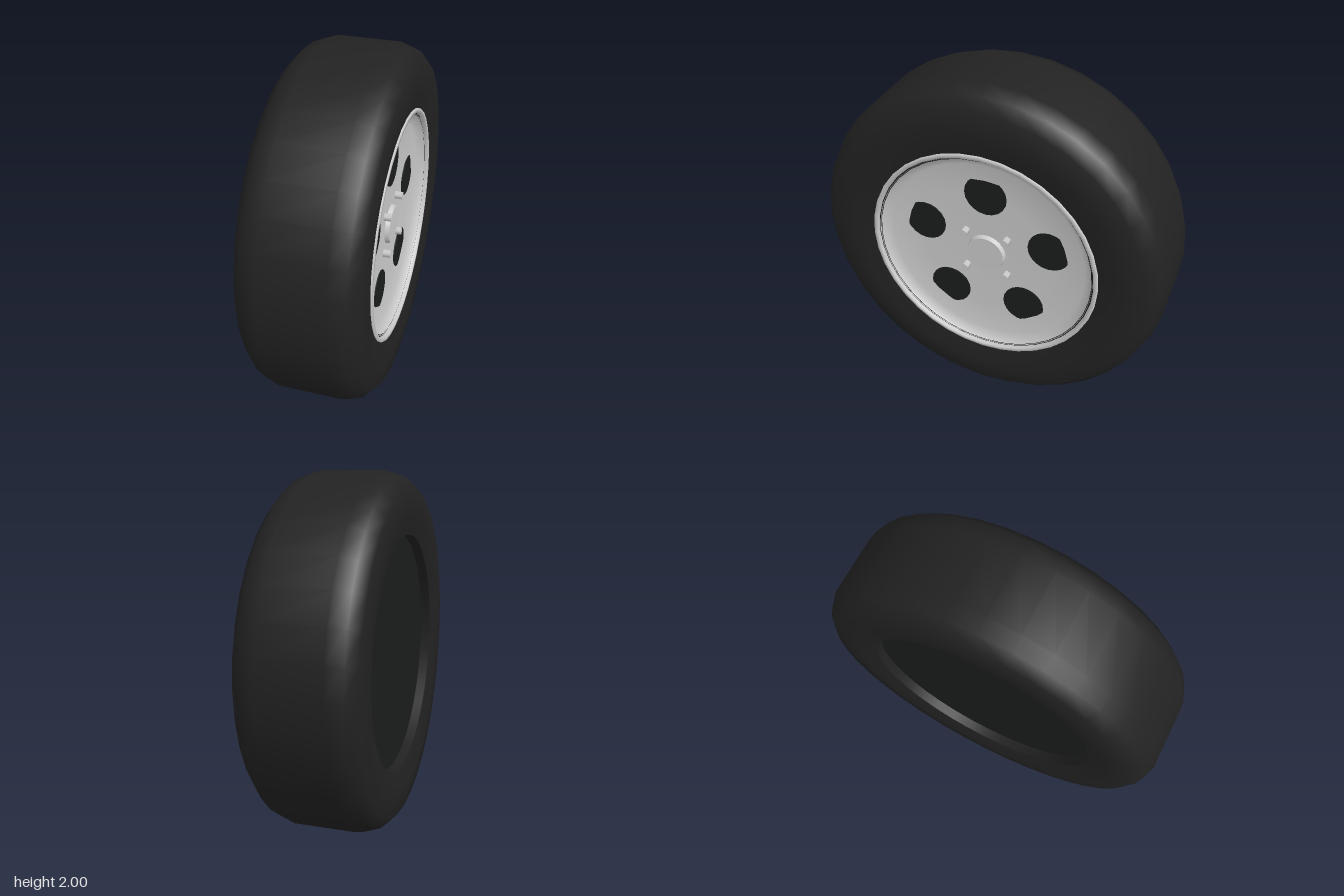
import * as THREE from 'three';

const SEG = 36;
const rubber = new THREE.MeshStandardMaterial({ color: 0x222222 });
const dark = new THREE.MeshStandardMaterial({ color: 0x1b1d1d });
const metal = new THREE.MeshStandardMaterial({ color: 0xcccccc });

// Profiles are [radius, offset along the axle] pairs, running counter-clockwise.
function lathe(name, profile, material) {
  const points = profile.map(([r, h]) => new THREE.Vector2(r, h));
  const mesh = new THREE.Mesh(new THREE.LatheGeometry(points, SEG), material);
  mesh.name = name;
  return mesh;
}

// Cylinder along the axle between two offsets, at a given distance and angle from the top.
function disc(name, rTop, rBottom, from, to, sides, material, dist = 0, angle = 0) {
  const geo = new THREE.CylinderGeometry(rTop, rBottom, to - from, sides);
  const mesh = new THREE.Mesh(geo, material);
  mesh.name = name;
  mesh.position.set(-dist * Math.cos(angle), (from + to) / 2, dist * Math.sin(angle));
  return mesh;
}

export function createModel() {
  const model = new THREE.Group();
  model.name = 'wheel';

  // Built with the axle along y, then laid over so the outer face looks to +x
  const wheel = new THREE.Group();
  wheel.name = 'wheelAssembly';
  wheel.rotation.z = -Math.PI / 2;
  wheel.position.y = 1;
  model.add(wheel);

  // Tyre: rounded shoulders and slightly bulging sidewalls
  const side = [[0.66, 0.3], [0.78, 0.325], [0.91, 0.315], [0.97, 0.26], [1, 0.175]];
  const tyre = [...side.map(([r, h]) => [r, -h]), ...side.slice().reverse()];
  wheel.add(lathe('tyre', tyre, rubber));

  // Recessed inner side: bore and flat back plate
  wheel.add(lathe('tyreBore', [[0.66, -0.245], [0.66, -0.3]], rubber));
  wheel.add(lathe('backPlate', [[0, -0.245], [0.66, -0.245]], dark));

  // Rim lip, the dark seam inside it, and the shallow dished face
  wheel.add(lathe('rimLip', [[0.66, 0.295], [0.657, 0.308], [0.636, 0.308], [0.632, 0.285]], metal));
  wheel.add(lathe('rimSeam', [[0.64, 0.287], [0.62, 0.287]], dark));
  wheel.add(lathe('rimDish',
    [[0.626, 0.29], [0.615, 0.275], [0.57, 0.242], [0.38, 0.232], [0.12, 0.227], [0, 0.227]], metal));

  // Five round vent openings
  for (let i = 0; i < 5; i++) {
    wheel.add(disc('ventHole', 0.12, 0.12, 0.2, 0.237, 20, dark, 0.38, (i * Math.PI * 2) / 5));
  }

  // Bevelled centre cap and four hexagonal lug nuts
  wheel.add(disc('centreCap', 0.105, 0.115, 0.215, 0.252, 32, metal));
  for (let i = 0; i < 4; i++) {
    const nut = disc('lugNut', 0.024, 0.024, 0.215, 0.27, 6, metal, 0.17, Math.PI / 4 + (i * Math.PI) / 2);
    nut.rotation.y = Math.PI / 2;
    nut.material = metal;
    wheel.add(nut);
  }
  return model;
}
